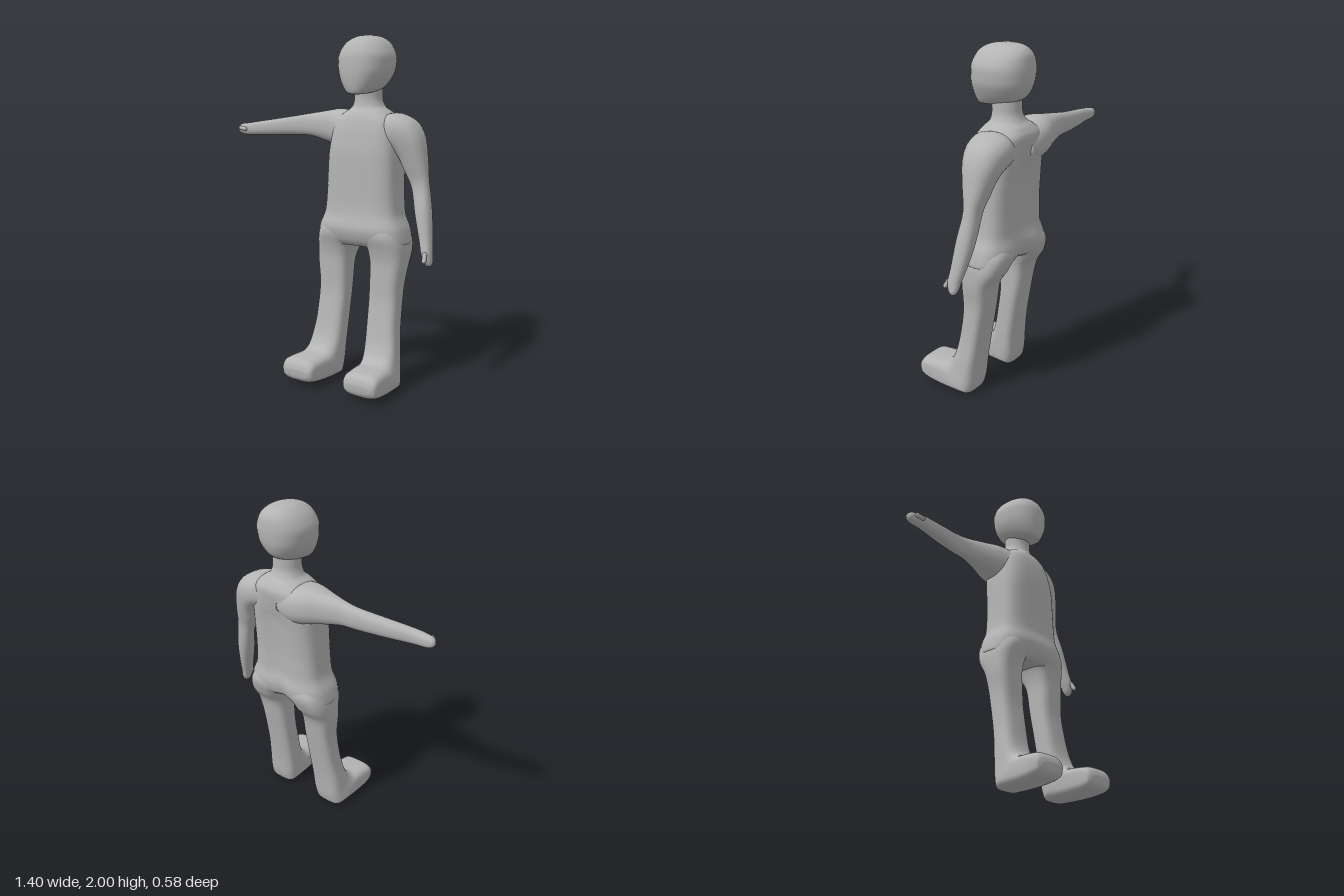
import * as THREE from 'three';

const MID = 0.25; // the body's own centre line

// Smooth, non-overshooting interpolation through rows of numbers
function refine(rows, steps) {
  const out = [];
  const slope = (i, k) => {
    if (i === 0 || i === rows.length - 1) {
      const j = i === 0 ? 0 : i - 1;
      return rows[j + 1][k] - rows[j][k];
    }
    const a = rows[i][k] - rows[i - 1][k], b = rows[i + 1][k] - rows[i][k];
    return a * b <= 0 ? 0 : (2 * a * b) / (a + b);
  };
  for (let i = 0; i < rows.length - 1; i++) {
    for (let s = 0; s < steps; s++) {
      const t = s / steps, t2 = t * t, t3 = t2 * t;
      out.push(rows[i].map((p, k) =>
        (2 * t3 - 3 * t2 + 1) * p + (t3 - 2 * t2 + t) * slope(i, k) +
        (3 * t2 - 2 * t3) * rows[i + 1][k] + (t3 - t2) * slope(i + 1, k)));
    }
  }
  out.push(rows[rows.length - 1]);
  return out;
}

// Skin over rounded-box rings; row = [point A, opposite point B, half width vector, exponent]
function loft(rows, warp, steps = 5, n = 36) {
  const rings = refine(rows, steps), pos = [], idx = [];
  const round = (c, e) => Math.sign(c) * Math.pow(Math.abs(c), 2 / e);
  const v = new THREE.Vector3();
  for (const r of rings) {
    for (let j = 0; j < n; j++) {
      const a = (j / n) * Math.PI * 2;
      const c = round(Math.cos(a), r[9]), s = round(Math.sin(a), r[9]);
      v.fromArray([0, 1, 2].map(k =>
        (r[k] + r[k + 3]) / 2 + c * (r[k] - r[k + 3]) / 2 + s * r[k + 6]));
      if (warp) warp(v, c);
      pos.push(v.x, v.y, v.z);
    }
  }
  for (let i = 0; i < rings.length - 1; i++) {
    for (let j = 0; j < n; j++) {
      const a = i * n + j, b = i * n + (j + 1) % n;
      idx.push(a, b, a + n, b, b + n, a + n);
    }
  }
  // End caps
  [[0, 0], [rings.length - 1, 1]].forEach(([i, end]) => {
    const r = rings[i], c = pos.length / 3;
    pos.push((r[0] + r[3]) / 2, (r[1] + r[4]) / 2, (r[2] + r[5]) / 2);
    for (let j = 0; j < n; j++) {
      const a = i * n + j, b = i * n + (j + 1) % n;
      if (end) idx.push(a, b, c); else idx.push(b, a, c);
    }
  });
  // Turn the faces outward
  const A = new THREE.Vector3(), B = new THREE.Vector3(), C = new THREE.Vector3();
  let volume = 0;
  for (let i = 0; i < idx.length; i += 3) {
    A.fromArray(pos, idx[i] * 3); B.fromArray(pos, idx[i + 1] * 3); C.fromArray(pos, idx[i + 2] * 3);
    volume += A.dot(B.cross(C));
  }
  if (volume < 0) idx.reverse();
  const g = new THREE.BufferGeometry();
  g.setAttribute('position', new THREE.Float32BufferAttribute(pos, 3));
  g.setIndex(idx);
  g.computeVertexNormals();
  return g;
}

// Ring from its front and back points in side profile, and its x range
const side = (yF, zF, yB, zB, x0, x1, e) => {
  const x = (x0 + x1) / 2;
  return [x, yF, zF, x, yB, zB, (x1 - x0) / 2, 0, 0, e];
};
// Level ring centred on the body
const level = (y, zF, zB, w, e) => side(y, zF, y, zB, MID - w, MID + w, e);
// Arm ring from its two outline points in the front plane, and its z range
const limb = (x0, y0, x1, y1, zF, zB, e = 2.4) => {
  const z = (zF + zB) / 2;
  return [x0, y0, z, x1, y1, z, 0, 0, (zF - zB) / 2, e];
};

export function createModel() {
  const model = new THREE.Group();
  const grey = new THREE.MeshStandardMaterial({ color: 0xb4b4b4 });
  grey.name = 'plain grey';
  const add = (name, geometry) => {
    const mesh = new THREE.Mesh(geometry, grey);
    mesh.name = name;
    model.add(mesh);
    return mesh;
  };

  // Torso and neck, with a groove down the back
  add('torso', loft([
    level(0.81, 0.00, -0.215, 0.25, 3),
    level(0.84, 0.025, -0.25, 0.283, 3.2),
    level(0.91, 0.045, -0.265, 0.27, 3.2),
    level(1.0, 0.025, -0.25, 0.235, 3.4),
    level(1.1, 0.02, -0.25, 0.225, 3.5),
    level(1.3, 0.02, -0.265, 0.217, 3.5),
    level(1.42, 0.01, -0.28, 0.205, 3.4),
    level(1.52, -0.01, -0.285, 0.185, 3),
    level(1.565, -0.03, -0.265, 0.14, 2.6),
    level(1.6, -0.055, -0.235, 0.095, 2.2),
    level(1.65, -0.06, -0.22, 0.08, 2.1),
    level(1.72, -0.05, -0.22, 0.08, 2),
  ], (v, c) => {
    if (c < 0 && v.y < 1.5) {
      const d = (v.x - MID) / 0.045;
      v.z += 0.03 * Math.exp(-d * d) * Math.min(1, (1.5 - v.y) / 0.15);
    }
  }));

  // Head
  add('head', loft([
    side(1.668, 0.01, 1.69, -0.17, 0.19, 0.31, 2.2),
    side(1.675, 0.03, 1.71, -0.23, 0.165, 0.335, 2.2),
    side(1.72, 0.045, 1.75, -0.265, 0.13, 0.37, 2.25),
    side(1.80, 0.053, 1.81, -0.285, 0.103, 0.402, 2.3),
    side(1.87, 0.05, 1.87, -0.29, 0.097, 0.408, 2.3),
    side(1.93, 0.03, 1.93, -0.285, 0.12, 0.385, 2.3),
    side(1.97, -0.005, 1.97, -0.265, 0.155, 0.35, 2.2),
    side(1.992, -0.06, 1.992, -0.225, 0.19, 0.31, 2),
    side(2.0, -0.12, 2.0, -0.17, 0.23, 0.27, 2),
  ]));

  // Legs, each bending forward into its foot
  const leg = loft([
    side(0.96, 0.015, 0.96, -0.235, 0.03, 0.23, 2.8),
    side(0.88, 0.035, 0.88, -0.262, -0.018, 0.235, 3),
    side(0.79, 0.012, 0.79, -0.235, -0.034, 0.19, 3),
    side(0.70, 0.0, 0.70, -0.18, -0.031, 0.172, 3.2),
    side(0.55, 0.0, 0.55, -0.15, -0.014, 0.17, 3.4),
    side(0.38, 0.022, 0.36, -0.115, -0.018, 0.168, 3.4),
    side(0.25, 0.05, 0.20, -0.09, -0.035, 0.165, 3.4),
    side(0.19, 0.085, 0.06, -0.075, -0.048, 0.162, 3.4),
    side(0.168, 0.13, 0.005, -0.05, -0.058, 0.16, 3.6),
    side(0.165, 0.19, 0.008, 0.08, -0.065, 0.156, 3.8),
    side(0.16, 0.25, 0.02, 0.21, -0.07, 0.15, 3.6),
    side(0.135, 0.28, 0.035, 0.265, -0.062, 0.143, 3.2),
    side(0.105, 0.29, 0.06, 0.285, -0.035, 0.12, 2.8),
  ]);
  const mirrored = leg.clone();
  const p = mirrored.attributes.position;
  for (let i = 0; i < p.count; i++) p.setX(i, 2 * MID - p.getX(i));
  mirrored.setIndex(Array.from(leg.index.array).reverse());
  mirrored.computeVertexNormals();
  add('rightLeg', leg);
  add('leftLeg', mirrored);

  // Right arm, held out to the side
  add('rightArm', loft([
    limb(0.22, 1.53, 0.22, 1.38, -0.06, -0.28),
    limb(0.13, 1.57, 0.13, 1.345, -0.03, -0.29),
    limb(0.04, 1.585, 0.04, 1.365, -0.06, -0.285),
    limb(-0.07, 1.57, -0.07, 1.395, -0.1, -0.25),
    limb(-0.22, 1.548, -0.22, 1.42, -0.138, -0.217),
    limb(-0.4, 1.52, -0.4, 1.416, -0.105, -0.187),
    limb(-0.56, 1.496, -0.56, 1.412, -0.075, -0.145),
    limb(-0.62, 1.487, -0.62, 1.412, -0.068, -0.135),
    limb(-0.67, 1.482, -0.67, 1.418, -0.078, -0.133),
    limb(-0.692, 1.472, -0.692, 1.428, -0.085, -0.127),
    limb(-0.702, 1.458, -0.702, 1.442, -0.1, -0.115),
  ]));

  // Left arm, hanging down
  add('leftArm', loft([
    limb(0.33, 1.54, 0.36, 1.38, -0.06, -0.27),
    limb(0.42, 1.567, 0.42, 1.36, -0.035, -0.288),
    limb(0.53, 1.525, 0.44, 1.34, -0.05, -0.28),
    limb(0.59, 1.43, 0.46, 1.31, -0.07, -0.262),
    limb(0.615, 1.3, 0.485, 1.25, -0.095, -0.235),
    limb(0.632, 1.18, 0.533, 1.15, -0.117, -0.207),
    limb(0.66, 1.03, 0.57, 1.01, -0.09, -0.193),
    limb(0.682, 0.88, 0.612, 0.87, -0.072, -0.16),
    limb(0.695, 0.79, 0.638, 0.785, -0.06, -0.135),
    limb(0.698, 0.75, 0.653, 0.745, -0.07, -0.125),
    limb(0.69, 0.728, 0.668, 0.725, -0.085, -0.11),
  ]));

  // Thumbs
  const thumb = (name, x, y, z, rx, rz) => {
    const mesh = add(name, new THREE.CapsuleGeometry(0.013, 0.04, 6, 12));
    mesh.position.set(x, y, z);
    mesh.rotation.set(rx, 0, rz);
  };
  thumb('rightThumb', -0.64, 1.452, -0.066, -0.5, 1.4);
  thumb('leftThumb', 0.672, 0.78, -0.053, -0.5, 0.15);

  return model;
}
